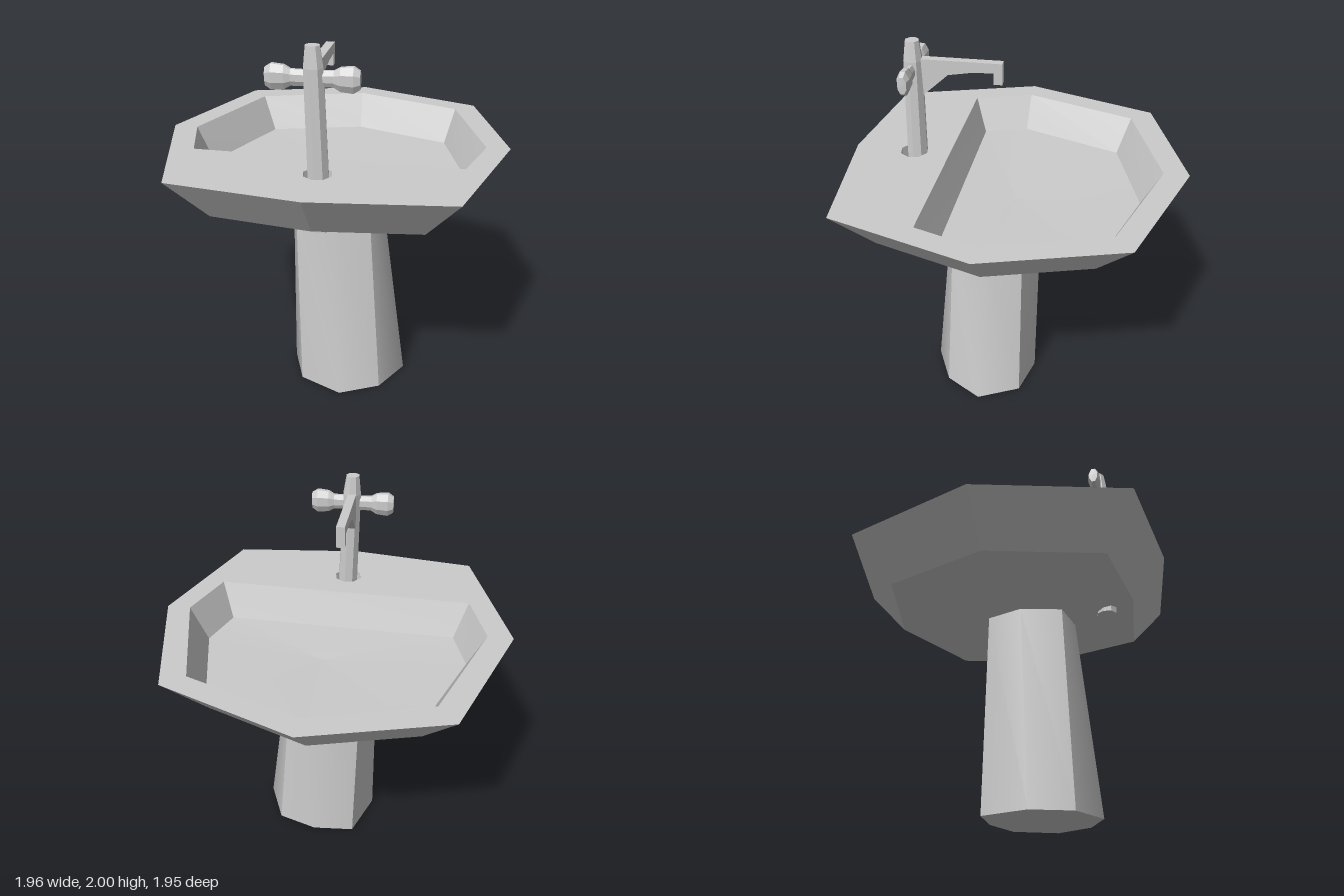
import * as THREE from 'three';

const material = new THREE.MeshStandardMaterial({ color: 0xcccccc });
const flatMaterial = new THREE.MeshStandardMaterial({ color: 0xcccccc, flatShading: true });

// Plan outlines as [x, z], clockwise seen from above
const RIM = [[-0.48, -0.79], [0.26, -0.98], [0.81, -0.52], [0.98, 0.2], [0.52, 0.75], [-0.21, 0.97], [-0.67, 0.44], [-0.98, -0.17]];
const OPENING = [[-0.41, -0.68], [0.22, -0.84], [0.7, -0.45], [0.85, 0.16], [0.45, 0.65], [0.14, 0.74], [-0.62, -0.42]];
const FLOOR = [[-0.37, -0.6], [0.21, -0.74], [0.62, -0.39], [0.76, 0.16], [0.4, 0.58], [0.165, 0.65], [-0.53, -0.4]];
const COLUMN_TOP = [[-0.16, -0.17], [0.04, -0.225], [0.19, -0.1], [0.24, 0.105], [0.11, 0.25], [-0.07, 0.315], [-0.21, 0.19], [-0.3, 0]];
const COLUMN_BASE = [[-0.19, -0.15], [0.08, -0.22], [0.23, -0.04], [0.3, 0.18], [0.17, 0.395], [-0.065, 0.41], [-0.27, 0.29], [-0.32, 0.04]];
const HOLE = Array.from({ length: 8 }, (_, i) => {
  const a = (i + 0.5) * Math.PI / 4;
  return [-0.4 + 0.075 * Math.cos(a), 0.27 + 0.075 * Math.sin(a)];
});

const ring = (outline, y, scale = 1) => outline.map(([x, z]) => [x * scale, y, z * scale]);
const point = (outline, x, y, z) => outline.map(() => [x, y, z]);

// Joins closed rings; listed bottom to top they face outward, top to bottom inward.
// Every `span` sides share smooth normals, with sharp edges in between.
function loft(rings, span = 1, start = 0) {
  const n = rings[0].length, pos = [], index = [];
  for (let r = 0; r < rings.length - 1; r++) {
    for (let s = 0; s < n; s += span) {
      const base = pos.length / 3;
      for (let k = 0; k <= span; k++) {
        const i = (start + s + k) % n;
        pos.push(...rings[r][i], ...rings[r + 1][i]);
        if (k < span) {
          const a = base + 2 * k;
          index.push(a, a + 1, a + 3, a, a + 3, a + 2);
        }
      }
    }
  }
  const g = new THREE.BufferGeometry();
  g.setAttribute('position', new THREE.Float32BufferAttribute(pos, 3));
  g.setIndex(index);
  g.computeVertexNormals();
  return g;
}

function add(parent, name, geometry, mat = material) {
  const mesh = new THREE.Mesh(geometry, mat);
  mesh.name = name;
  parent.add(mesh);
  return mesh;
}

function createBasin() {
  const basin = new THREE.Group();
  basin.name = 'basin';

  // Flat rim with the bowl opening and the tap hole
  const vectors = (outline) => outline.map(([x, z]) => new THREE.Vector2(x, -z));
  const shape = new THREE.Shape(vectors(RIM));
  shape.holes.push(new THREE.Path(vectors(OPENING)), new THREE.Path(vectors(HOLE)));
  const rim = new THREE.ShapeGeometry(shape).rotateX(-Math.PI / 2).translate(0, 1.39, 0);
  add(basin, 'rim', rim);

  add(basin, 'underside', loft([ring(COLUMN_TOP, 1.065), ring(RIM, 1.15, 0.77), ring(RIM, 1.39)]));
  add(basin, 'bowlWall', loft([ring(OPENING, 1.39), ring(FLOOR, 1.2)]));
  add(basin, 'bowlFloor', loft([ring(FLOOR, 1.2), point(FLOOR, 0.1, 1.18, 0)], FLOOR.length));
  add(basin, 'tapHole', loft([ring(HOLE, 1.39), ring(HOLE, 1.2), point(HOLE, -0.4, 1.2, 0.27)]));
  return basin;
}

function createTap() {
  const tap = new THREE.Group();
  tap.name = 'tap';

  // Slightly leaning octagonal body with a tapered cap: [y, radius]
  const section = ([y, r]) => Array.from({ length: 8 }, (_, i) => {
    const a = (i + 0.5) * Math.PI / 4, t = (y - 1.09) / 0.91;
    return [-0.381 - 0.012 * t + r * Math.cos(a), y, 0.268 - 0.03 * t + r * Math.sin(a)];
  });
  const levels = [[1.09, 0], [1.09, 0.055], [1.4, 0.055], [1.9, 0.05], [2, 0.036], [2, 0]];
  add(tap, 'tapBody', loft(levels.map(section)));

  // Spout and handles share a frame whose local x points over the bowl
  const head = new THREE.Group();
  head.name = 'tapHead';
  head.position.set(-0.395, 0, 0.238);
  head.rotation.y = 0.6;
  tap.add(head);

  // Spout with brace and downturned tip
  const profile = [[0, 1.91], [0.455, 1.91], [0.455, 1.8], [0.41, 1.8], [0.41, 1.86], [0.3, 1.855], [0.18, 1.835], [0.05, 1.72], [0, 1.72]];
  const spout = new THREE.ExtrudeGeometry(
    new THREE.Shape(profile.map(([x, y]) => new THREE.Vector2(x, y))),
    { depth: 0.044, bevelEnabled: false });
  add(head, 'spout', spout.translate(0, 0, -0.022));

  // Pair of flared lever handles
  const lever = [[0.04, 0.02], [0.042, 0.1], [0.06, 0.13], [0.066, 0.19], [0.046, 0.22], [0, 0.222]];
  for (const side of [1, -1]) {
    const g = new THREE.LatheGeometry(lever.map(([r, y]) => new THREE.Vector2(r, y)), 8, Math.PI / 8);
    g.scale(0.52, 1, 1).rotateX(side * Math.PI / 2).translate(0, 1.85, 0);
    add(head, side > 0 ? 'frontHandle' : 'backHandle', g, flatMaterial);
  }
  return tap;
}

export function createModel() {
  const model = new THREE.Group();
  model.name = 'pedestalSink';

  // Tapered pedestal: four curved faces meeting at sharp edges
  add(model, 'pedestal', loft([ring(COLUMN_BASE, 0), ring(COLUMN_TOP, 1.065)], 2, 1));
  add(model, 'pedestalFoot', loft([point(COLUMN_BASE, 0, 0, 0.1), ring(COLUMN_BASE, 0)]));

  model.add(createBasin(), createTap());
  return model;
}
